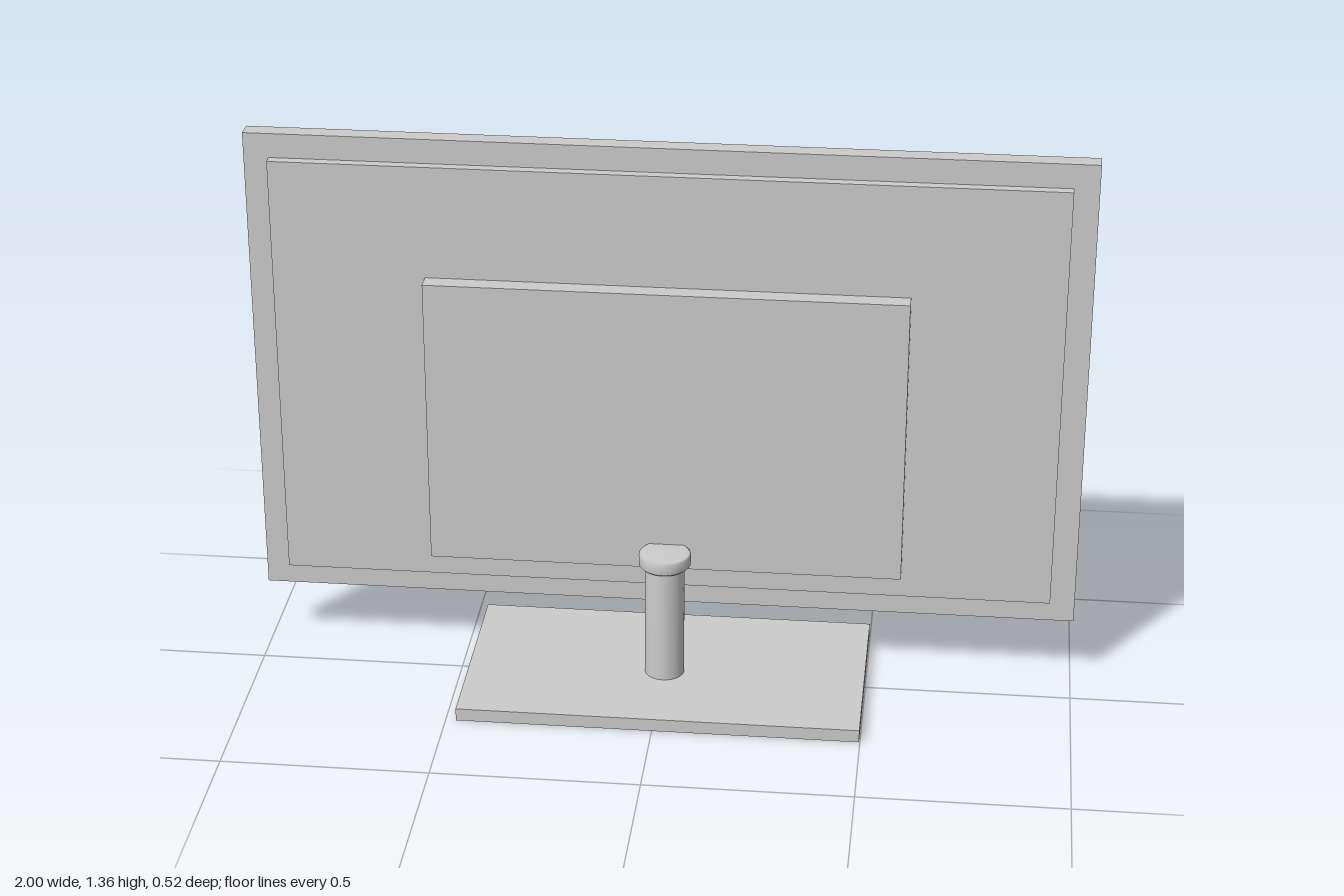
import * as THREE from 'three';

const material = new THREE.MeshStandardMaterial({ color: 0xcccccc });

function add(group, name, geometry, x = 0, y = 0, z = 0) {
  const mesh = new THREE.Mesh(geometry, material);
  mesh.name = name;
  mesh.position.set(x, y, z);
  group.add(mesh);
  return mesh;
}

// Box given by its limits on each axis
function addSlab(group, name, [x0, x1], [y0, y1], [z0, z1]) {
  return add(group, name, new THREE.BoxGeometry(x1 - x0, y1 - y0, z1 - z0),
    (x0 + x1) / 2, (y0 + y1) / 2, (z0 + z1) / 2);
}

// Rectangle outline, for a shape or a hole
function rectangle(path, x, y0, y1) {
  path.moveTo(-x, y0);
  path.lineTo(x, y0);
  path.lineTo(x, y1);
  path.lineTo(-x, y1);
  path.closePath();
  return path;
}

export function createModel() {
  const model = new THREE.Group();
  model.name = 'monitor';

  // Display: bezel around a screen recessed on the -z side
  const display = new THREE.Group();
  display.name = 'display';
  model.add(display);
  const frame = rectangle(new THREE.Shape(), 1, 0.165, 1.36);
  frame.holes.push(rectangle(new THREE.Path(), 0.94, 0.225, 1.3));
  add(display, 'bezel', new THREE.ExtrudeGeometry(frame, { depth: 0.045, bevelEnabled: false }), 0, 0, -0.135);
  addSlab(display, 'screen', [-0.94, 0.94], [0.225, 1.3], [-0.117, -0.085]);

  // Two stepped housings behind the screen
  addSlab(display, 'rearHousing', [-0.94, 0.94], [0.225, 1.3], [-0.092, -0.065]);
  addSlab(display, 'electronicsHousing', [-0.573, 0.577], [0.295, 1.02], [-0.067, -0.02]);

  // Stand: flat foot, round post and a cap with softened edges
  const stand = new THREE.Group();
  stand.name = 'stand';
  model.add(stand);
  addSlab(stand, 'foot', [-0.475, 0.498], [0, 0.032], [-0.26, 0.258]);
  add(stand, 'post', new THREE.CylinderGeometry(0.048, 0.048, 0.32, 40), 0.007, 0.17, 0.022);
  const capProfile = [[0, 0], [0.058, 0], [0.063, 0.005], [0.063, 0.03], [0.058, 0.035], [0, 0.035]]
    .map(([r, y]) => new THREE.Vector2(r, y));
  add(stand, 'postCap', new THREE.LatheGeometry(capProfile, 40), 0.007, 0.325, 0.019);

  return model;
}
